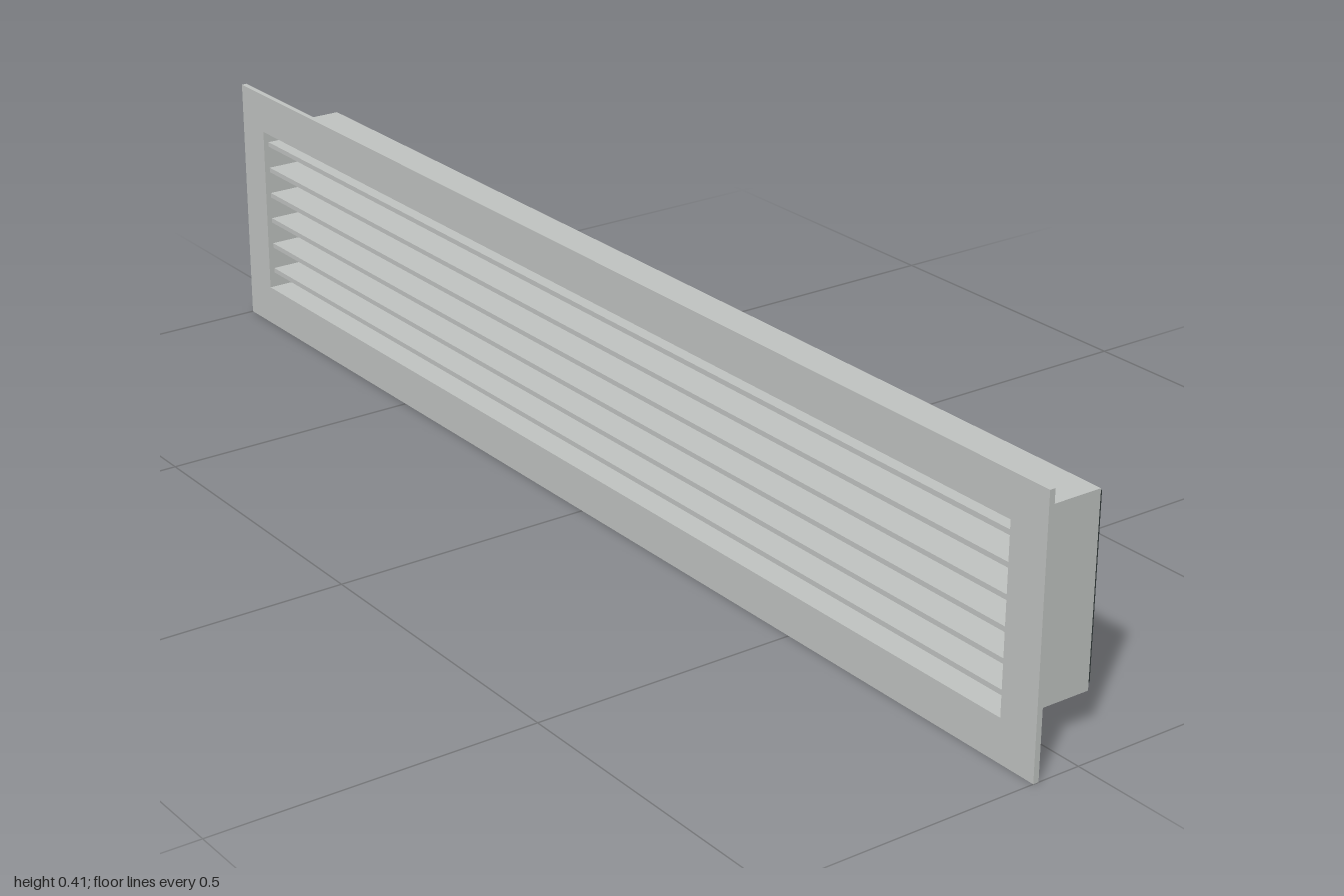
import * as THREE from 'three';

const metal = new THREE.MeshStandardMaterial({ color: 0xc1c4c2 });
metal.name = 'light grey metal';
const dark = new THREE.MeshStandardMaterial({ color: 0x343c3c });
dark.name = 'dark backing';

const MID = 0.2065; // height of the centre line

// Rectangular ring (outer and inner width/height) extruded from z0 to z1
function ring(name, w, h, iw, ih, z0, z1) {
  const rect = (P, a, b) => {
    const p = new P();
    p.moveTo(-a / 2, -b / 2);
    p.lineTo(a / 2, -b / 2);
    p.lineTo(a / 2, b / 2);
    p.lineTo(-a / 2, b / 2);
    p.closePath();
    return p;
  };
  const shape = rect(THREE.Shape, w, h);
  shape.holes.push(rect(THREE.Path, iw, ih));
  const geo = new THREE.ExtrudeGeometry(shape, { depth: z1 - z0, bevelEnabled: false });
  const mesh = new THREE.Mesh(geo, metal);
  mesh.name = name;
  mesh.position.set(0, MID, z0);
  return mesh;
}

function box(name, mat, w, h, d, y, z) {
  const mesh = new THREE.Mesh(new THREE.BoxGeometry(w, h, d), mat);
  mesh.name = name;
  mesh.position.set(0, y, z);
  return mesh;
}

export function createModel() {
  const model = new THREE.Group();
  model.name = 'ventGrille';

  // Flat flange around the opening and the sleeve behind it
  model.add(ring('frontFrame', 2, 0.413, 1.866, 0.281, 0.069, 0.078));
  model.add(ring('ductSleeve', 1.878, 0.291, 1.866, 0.281, -0.07, 0.069));

  // Horizontal louvre blades
  const blades = new THREE.Group();
  blades.name = 'blades';
  for (let i = 0; i < 6; i++) {
    blades.add(box('blade', metal, 1.866, 0.008, 0.13, 0.0955 + i * 0.0455, 0.004));
  }
  model.add(blades);

  // Dark sheet just behind the sleeve
  model.add(box('backPanel', dark, 1.866, 0.277, 0.003, MID, -0.0765));
  return model;
}
